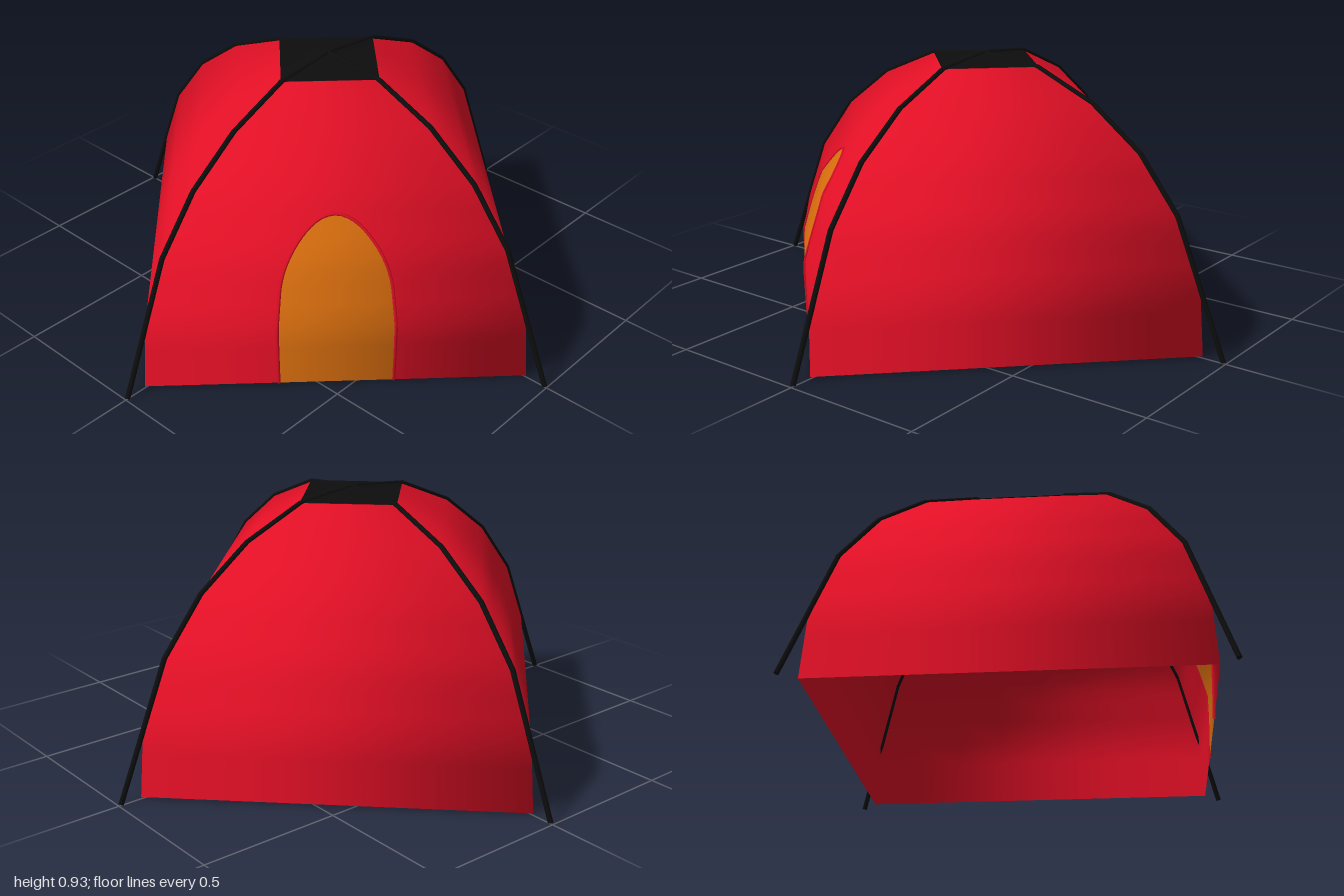
import * as THREE from 'three';

// Ridge profile, from the ground up: [distance from centre, height]
const PROFILE = [[0.915, 0.006], [0.895, 0.24], [0.8, 0.47], [0.65, 0.66], [0.46, 0.802], [0.232, 0.9]];
const ROWS = [0.006, 0.08, 0.16, 0.24, 0.32, 0.38, 0.43, 0.47, 0.51, 0.545, 0.57, 0.585, 0.59, 0.66, 0.73, 0.802, 0.85, 0.9];
const DOOR_TOP = 0.59;

function radiusAt(y) {
  let i = 0;
  while (i < PROFILE.length - 2 && y > PROFILE[i + 1][1]) i++;
  const [r0, y0] = PROFILE[i], [r1, y1] = PROFILE[i + 1];
  return r0 + (r1 - r0) * (y - y0) / (y1 - y0);
}

// Half width of the door, as a fraction of the panel width
function doorHalf(y) {
  if (y >= DOOR_TOP) return 0;
  const t = Math.max(0, (y - 0.36) / (DOOR_TOP - 0.36));
  return 0.15 * Math.sqrt(1 - t * t);
}

// Point on a panel: u runs from its left ridge to its right ridge
function panelPoint(side, u, y) {
  let r = radiusAt(y);
  if (side === 0 && y < 0.66) r *= 1 + 0.04 * Math.sin(Math.PI * u) * Math.sin(Math.PI * y / 0.66);
  return new THREE.Vector3(r * u, y, r * (1 - u)).applyAxisAngle(THREE.Object3D.DEFAULT_UP, side * Math.PI / 2);
}

// Normals turn smoothly from ridge to ridge
function panelNormal(side, u, y) {
  const lo = Math.max(0.006, y - 0.06), hi = Math.min(0.9, y + 0.06);
  const slope = (radiusAt(lo) - radiusAt(hi)) / (hi - lo);
  const flat = new THREE.Vector3(u, 0, 1 - u).normalize();
  return flat.setY(slope).normalize().applyAxisAngle(THREE.Object3D.DEFAULT_UP, side * Math.PI / 2);
}

// Cloth between two edges u0(y) and u1(y) of one panel
function cloth(side, rows, u0, u1, cols) {
  const pos = [], nor = [], idx = [];
  rows.forEach((y, j) => {
    for (let i = 0; i <= cols; i++) {
      const u = u0(y) + (u1(y) - u0(y)) * i / cols;
      pos.push(...panelPoint(side, u, y).toArray());
      nor.push(...panelNormal(side, u, y).toArray());
      if (j && i) {
        const d = j * (cols + 1) + i, c = d - 1, b = d - cols - 1, a = b - 1;
        idx.push(a, b, d, a, d, c);
      }
    }
  });
  const g = new THREE.BufferGeometry();
  g.setAttribute('position', new THREE.Float32BufferAttribute(pos, 3));
  g.setAttribute('normal', new THREE.Float32BufferAttribute(nor, 3));
  g.setIndex(idx);
  return g;
}

export function createModel() {
  const tent = new THREE.Group();
  tent.name = 'domeTent';
  const red = new THREE.MeshStandardMaterial({ color: 0xe00f25, side: THREE.DoubleSide });
  const orange = new THREE.MeshStandardMaterial({ color: 0xd66c0e, side: THREE.DoubleSide });
  const black = new THREE.MeshStandardMaterial({ color: 0x0d0d0d, side: THREE.DoubleSide });
  red.name = 'redCloth';
  orange.name = 'orangeDoor';
  black.name = 'blackTrim';
  const add = (name, geometry, material, parent = tent) => {
    const mesh = new THREE.Mesh(geometry, material);
    mesh.name = name;
    parent.add(mesh);
    return mesh;
  };

  // Three plain walls
  for (let side = 1; side < 4; side++) add('wallPanel', cloth(side, ROWS, () => 0, () => 1, 8), red);

  // Wall with the door opening, and the door filling it
  const left = y => 0.5 - doorHalf(y), right = y => 0.5 + doorHalf(y);
  add('doorWallLeft', cloth(0, ROWS, () => 0, left, 5), red);
  add('doorWallRight', cloth(0, ROWS, right, () => 1, 5), red);
  const doorRows = ROWS.filter(y => y <= DOOR_TOP);
  add('door', cloth(0, doorRows, left, right, 6), orange);

  // Piping around the door
  const outline = [
    ...doorRows.map(y => panelPoint(0, left(y), y)),
    ...doorRows.slice(0, -1).reverse().map(y => panelPoint(0, right(y), y)),
  ];
  add('doorPiping', new THREE.TubeGeometry(new THREE.CatmullRomCurve3(outline), 60, 0.006, 5), red);

  // Roof cap
  const cap = add('roofCap', new THREE.ConeGeometry(0.235, 0.025, 4, 1, true), black);
  cap.position.y = 0.9145;

  // Four half poles, meeting at the top
  const polePath = [[0.991, 0.004], [0.8, 0.47], [0.65, 0.66], [0.46, 0.802], [0.232, 0.9], [0, 0.924]];
  for (let side = 0; side < 4; side++) {
    const pole = new THREE.Group();
    pole.name = 'pole';
    pole.rotation.y = side * Math.PI / 2;
    for (let i = 1; i < polePath.length; i++) {
      const a = new THREE.Vector3(0, polePath[i - 1][1], polePath[i - 1][0]);
      const b = new THREE.Vector3(0, polePath[i][1], polePath[i][0]);
      const dir = b.clone().sub(a);
      const rod = add('poleSegment', new THREE.CylinderGeometry(0.009, 0.009, dir.length() + 0.002, 8), black, pole);
      rod.position.copy(a).add(b).multiplyScalar(0.5);
      rod.quaternion.setFromUnitVectors(THREE.Object3D.DEFAULT_UP, dir.normalize());
    }
    tent.add(pole);
  }
  return tent;
}
